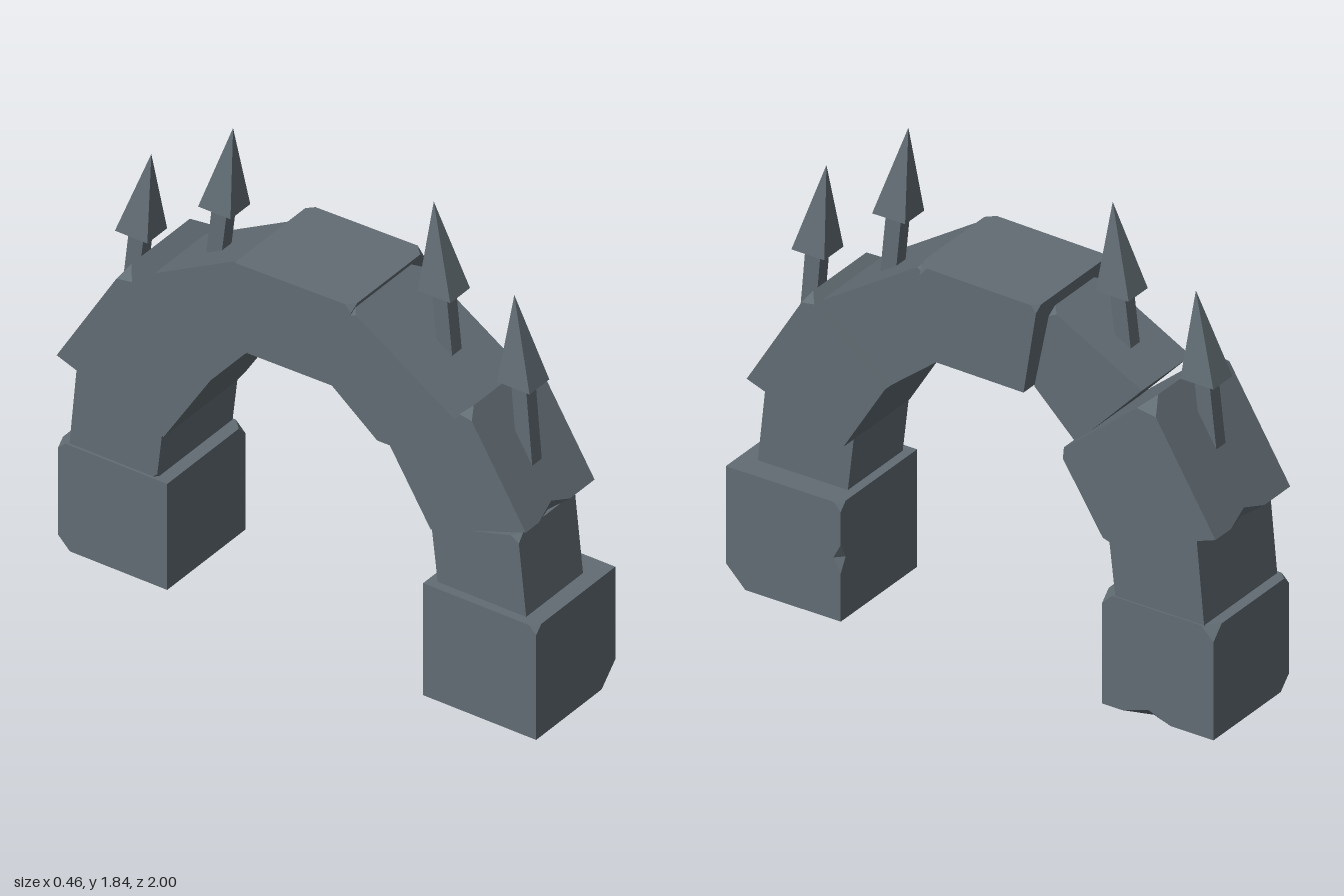
import * as THREE from 'three';

const stone = new THREE.MeshStandardMaterial({ color: 0x616c73 });
stone.name = 'slate stone';

const V = (x, y, z) => new THREE.Vector3(x, y, z);
const mean = pts => pts.reduce((s, p) => s.add(p), V(0, 0, 0)).divideScalar(pts.length);
const toward = (a, b, d) => a.clone().add(b.clone().sub(a).setLength(d));

// Triangulates a planar loop and turns every triangle to face the point "out".
function fill(loop, out, data) {
  const u = loop[1].clone().sub(loop[0]).normalize();
  let n = V(0, 0, 0);
  loop.forEach((p, i) => n.add(p.clone().sub(loop[0]).cross(loop[(i + 1) % loop.length].clone().sub(loop[0]))));
  n.normalize();
  const w = n.clone().cross(u);
  const flat = loop.map(p => new THREE.Vector2(p.dot(u), p.dot(w)));
  for (const [a, b, c] of THREE.ShapeUtils.triangulateShape(flat, [])) {
    const t = [loop[a], loop[b], loop[c]];
    const m = t[1].clone().sub(t[0]).cross(t[2].clone().sub(t[0]));
    if (m.dot(out.clone().sub(t[0])) < 0) t.reverse();
    t.forEach(p => data.push(p.x, p.y, p.z));
  }
}

// Wedge block: quad of [z, y] in the order outer bottom, outer top, inner top,
// inner bottom. Corners 0-3 lie on the right (x0), 4-7 on the left (x1).
// corners: [index, size]; notches: [corner a, corner b, position, half width, depth].
function block(name, quad, x0, x1, corners = [], notches = []) {
  const P = [x0, x1].flatMap(x => quad.map(([z, y]) => V(x, y, z)));
  const centre = mean(P), data = [];
  const faces = [[0, 1, 2, 3], [4, 5, 6, 7]];
  for (let i = 0; i < 4; i++) faces.push([i, (i + 1) % 4, (i + 1) % 4 + 4, i + 4]);
  for (const f of faces) {
    const mid = mean(f.map(i => P[i])), loop = [];
    f.forEach((v, k) => {
      const prev = f[(k + 3) % 4], next = f[(k + 1) % 4];
      const cut = corners.find(c => c[0] === v);
      if (cut) loop.push(toward(P[v], P[prev], cut[1]), toward(P[v], P[next], cut[1]));
      else loop.push(P[v]);
      const notch = notches.find(q => (q[0] === v && q[1] === next) || (q[1] === v && q[0] === next));
      if (notch) {
        const [a, b, t, w, d] = notch;
        const e = P[a].clone().lerp(P[b], t);
        loop.push(toward(e, P[v], w), toward(e, mid, d), toward(e, P[next], w));
      }
    });
    fill(loop, mid.clone().multiplyScalar(2).sub(centre), data);
  }
  for (const [v, d] of corners) {
    const s = v & 4, i = v % 4;
    const near = [(i + 1) % 4 + s, (i + 3) % 4 + s, v ^ 4];
    fill(near.map(n => toward(P[v], P[n], d)), P[v], data);
  }
  for (const [a, b, t, w, d] of notches) {
    const e = P[a].clone().lerp(P[b], t);
    const inner = faces.filter(f => f.includes(a) && f.includes(b))
      .map(f => toward(e, mean(f.map(i => P[i])), d));
    for (const end of [a, b]) fill([toward(e, P[end], w), ...inner], e, data);
  }
  const g = new THREE.BufferGeometry();
  g.setAttribute('position', new THREE.Float32BufferAttribute(data, 3));
  g.computeVertexNormals();
  const mesh = new THREE.Mesh(g, stone);
  mesh.name = name;
  return mesh;
}

// Leans a unit-high geometry so its axis runs between two [z, y] points.
function lean(geometry, [z0, y0], [z1, y1], name) {
  const g = geometry.index ? geometry.toNonIndexed() : geometry;
  const p = g.attributes.position;
  for (let i = 0; i < p.count; i++) {
    const t = p.getY(i) + 0.5;
    p.setXYZ(i, p.getX(i) - 0.008, y0 + (y1 - y0) * t, p.getZ(i) + z0 + (z1 - z0) * t);
  }
  g.computeVertexNormals();
  const mesh = new THREE.Mesh(g, stone);
  mesh.name = name;
  return mesh;
}

// Spike: square shaft with a four-sided pointed head.
function spike(name, foot, neck, tip) {
  const group = new THREE.Group();
  group.name = name;
  group.add(lean(new THREE.BoxGeometry(0.055, 1, 0.062), foot, neck, 'spikeShaft'));
  const head = new THREE.ConeGeometry(Math.SQRT1_2, 1, 4, 1).rotateY(Math.PI / 4).scale(0.115, 1, 0.135);
  group.add(lean(head, neck, tip, 'spikeHead'));
  return group;
}

export function createModel() {
  const model = new THREE.Group();
  model.name = 'stoneArch';
  model.add(
    // front leg
    block('frontBase', [[1, 0], [1, 0.455], [0.53, 0.455], [0.53, 0]], -0.23, 0.23,
      [[4, 0.08], [1, 0.03], [6, 0.03]], [[6, 7, 0.47, 0.055, 0.03]]),
    block('frontPier', [[0.935, 0.44], [0.9, 0.77], [0.54, 0.67], [0.567, 0.44]], -0.195, 0.135, [[1, 0.03]]),
    block('frontShoulder', [[0.935, 0.8], [0.69, 1.2], [0.37, 0.935], [0.54, 0.66]], -0.2, 0.2,
      [[1, 0.04], [5, 0.04]], [[0, 4, 0.42, 0.09, 0.035]]),
    block('frontHaunch', [[0.66, 1.17], [0.225, 1.45], [0.15, 1.11], [0.37, 0.935]], -0.23, 0.16,
      [[1, 0.03], [5, 0.05], [3, 0.04]]),
    // crown
    block('keystone', [[0.235, 1.462], [-0.255, 1.452], [-0.2, 1.105], [0.155, 1.11]], -0.23, 0.205,
      [[4, 0.04], [5, 0.025], [0, 0.03]], [[3, 7, 0.6, 0.1, 0.03]]),
    // back leg
    block('backHaunch', [[-0.64, 1.22], [-0.265, 1.42], [-0.2, 1.1], [-0.37, 0.935]], -0.155, 0.14,
      [[1, 0.03], [5, 0.03]]),
    block('backShoulder', [[-0.995, 0.79], [-0.72, 1.24], [-0.355, 0.935], [-0.55, 0.63]], -0.23, 0.22,
      [[1, 0.05], [5, 0.06], [6, 0.03], [7, 0.03]], [[0, 4, 0.57, 0.1, 0.035]]),
    block('backPier', [[-0.95, 0.43], [-0.915, 0.8], [-0.56, 0.66], [-0.587, 0.43]], -0.22, 0.22, [[3, 0.03]]),
    block('backBase', [[-0.99, 0.015], [-0.99, 0.445], [-0.535, 0.445], [-0.535, 0.015]], -0.23, 0.225,
      [[5, 0.05], [6, 0.04], [0, 0.05], [1, 0.03]], [[4, 7, 0.6, 0.1, 0.035]]),
    // spikes
    spike('frontLowerSpike', [0.815, 0.93], [0.787, 1.257], [0.75, 1.59]),
    spike('frontUpperSpike', [0.483, 1.24], [0.457, 1.5], [0.415, 1.84]),
    spike('backUpperSpike', [-0.487, 1.24], [-0.457, 1.487], [-0.42, 1.815]),
    spike('backLowerSpike', [-0.838, 0.95], [-0.803, 1.255], [-0.76, 1.578])
  );
  return model;
}
